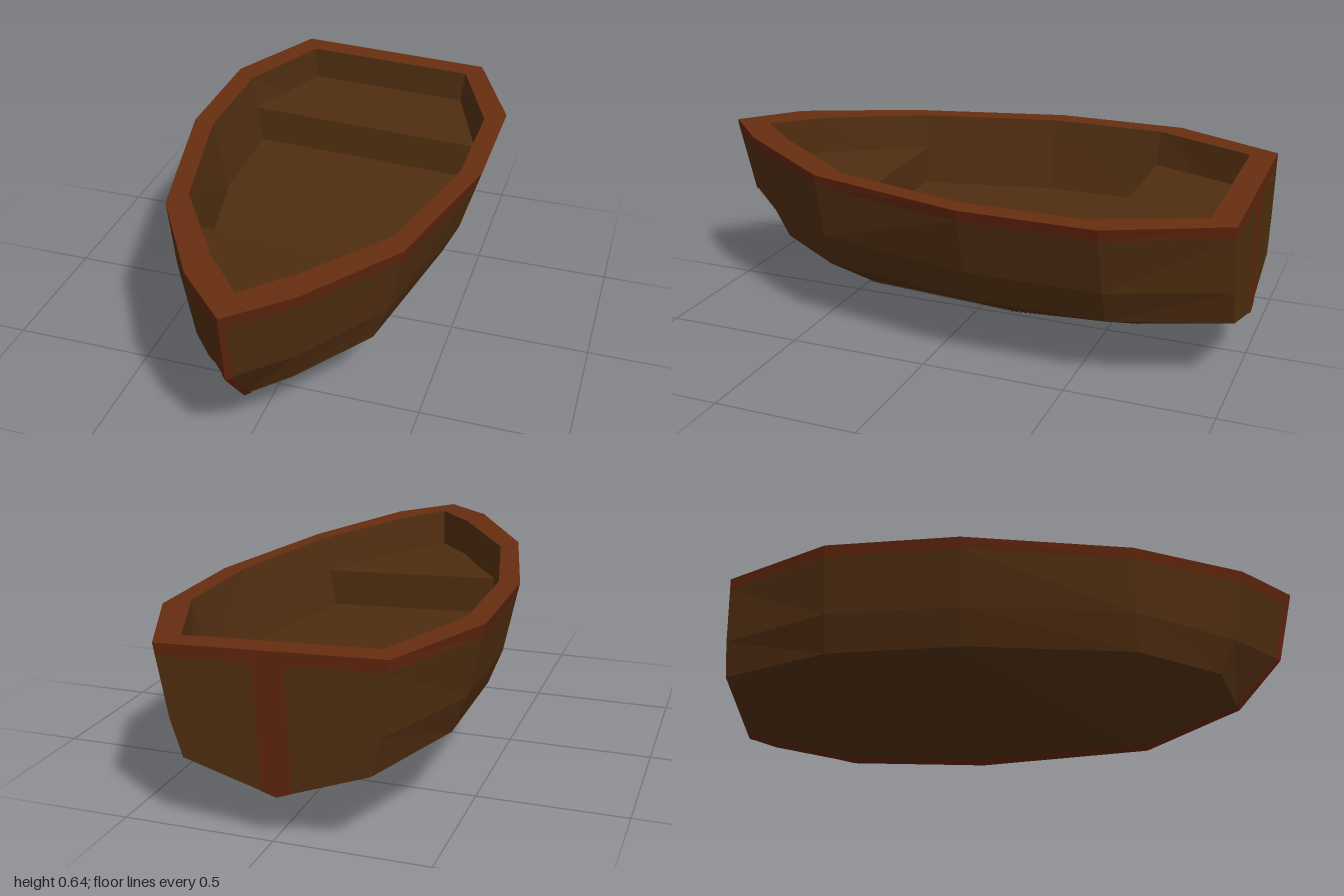
import * as THREE from 'three';

const mat = (name, color) => {
  const m = new THREE.MeshStandardMaterial({ color, flatShading: true });
  m.name = name;
  return m;
};
const V = (x, y, z) => new THREE.Vector3(x, y, z);
const row = (pts) => pts.map((p) => V(...p));
const mix = (A, B, t) => A.map((p, i) => p.clone().lerp(B[i], t));
// Centreline points level with a row
const spine = (A) => A.map((p) => V(0, p.y, p.z));

// Quad strip between two rows of points
const loft = (A, B) => A.slice(1).map((p, i) => [A[i], p, B[i + 1], B[i]]);

// Flat-shaded mesh from quads, mirrored to the other side
function panel(name, material, quads) {
  const out = [];
  const tri = (a, b, c) => {
    const area = b.clone().sub(a).cross(c.clone().sub(a)).length();
    if (area < 1e-7) return;
    for (const p of [a, b, c]) out.push(p.x, p.y, p.z);
    for (const p of [a, c, b]) out.push(-p.x, p.y, p.z);
  };
  for (const [a, b, c, d] of quads) {
    tri(a, b, c);
    tri(a, c, d);
  }
  const g = new THREE.BufferGeometry();
  g.setAttribute('position', new THREE.Float32BufferAttribute(out, 3));
  g.computeVertexNormals();
  const mesh = new THREE.Mesh(g, material);
  mesh.name = name;
  return mesh;
}

export function createModel() {
  const wood = mat('brown planks', 0x4f2d10);
  const rimWood = mat('red brown rim', 0x662d10);
  const trimWood = mat('dark red trim', 0x5e240d);

  // Half rows of the hull: stern centre, stern corner, then forward to the bow
  const rim = row([[0, 0.602, -1], [0.37, 0.602, -1], [0.545, 0.603, -0.61],
    [0.545, 0.605, -0.14], [0.41, 0.607, 0.44], [0.18, 0.63, 0.82], [0, 0.63, 1]]);
  const mid = row([[0, 0.365, -1], [0.335, 0.365, -1], [0.485, 0.365, -0.61],
    [0.485, 0.365, -0.14], [0.375, 0.368, 0.44], [0.165, 0.365, 0.77], [0, 0.36, 0.94]]);
  const chine = row([[0, 0.243, -1], [0.3, 0.243, -1], [0.432, 0.243, -0.61],
    [0.432, 0.243, -0.14], [0.33, 0.243, 0.44], [0.145, 0.24, 0.72], [0, 0.17, 0.78]]);
  const keel = row([[0, 0.145, -1], [0, 0.145, -1], [0, 0.03, -0.6],
    [0, 0, -0.13], [0, 0.03, 0.45], [0, 0.145, 0.72], [0, 0.17, 0.78]]);
  const band = mix(rim, mid, 0.17);

  // Inner lip and the foot of the inner walls
  const lip = row([[0, 0.602, -0.91], [0.32, 0.602, -0.91], [0.47, 0.603, -0.55],
    [0.47, 0.605, -0.13], [0.36, 0.607, 0.36], [0.14, 0.625, 0.7], [0, 0.628, 0.86]]);
  const foot = row([[0, 0.345, -0.91], [0.3, 0.345, -0.91], [0.42, 0.345, -0.535],
    [0.41, 0.345, -0.13], [0.31, 0.345, 0.355], [0.12, 0.345, 0.68], [0, 0.345, 0.84]]);
  const seat = mix(foot, lip, 0.52);

  const boat = new THREE.Group();
  boat.name = 'boat';
  boat.add(
    panel('hull', wood, [...loft(band, mid), ...loft(mid, chine), ...loft(chine, keel)]),
    panel('rimTop', rimWood, loft(lip, rim)),
    panel('rimBand', trimWood, loft(rim, band)),
    panel('innerWalls', wood, loft(foot, lip)),
    panel('floor', wood, loft(spine(foot), foot)),
  );

  // Raised benches at stern and bow, each with an upright face
  const bench = (name, from, to, edge, facesBow) => {
    const top = seat.slice(from, to);
    const low = [V(0, foot[edge].y, foot[edge].z), foot[edge]];
    const high = [V(0, seat[edge].y, seat[edge].z), seat[edge]];
    boat.add(panel(name, wood, [...loft(spine(top), top),
      ...(facesBow ? loft(low, high) : loft(high, low))]));
  };
  bench('sternBench', 1, 3, 2, true);
  bench('bowBench', 4, 7, 4, false);

  // Thin strip down the stem and along the keel
  const shift = V(0, -0.003, 0.003);
  const centre = [...keel.slice(1), mid[6], rim[6]];
  const partner = [...chine.slice(1, 6), chine[5], mid[5], rim[5]];
  const edge = centre.map((p, i) => {
    const d = partner[i].clone().sub(p).normalize();
    return p.clone().addScaledVector(d, 0.026).add(shift);
  });
  boat.add(panel('keelStrip', trimWood, loft(edge, centre.map((p) => p.clone().add(shift)))));

  // Upright strip on the transom
  const w = 0.05;
  const z = -1.003;
  boat.add(panel('sternStrip', trimWood, [
    [V(0, 0.565, z), V(w, 0.565, z), V(w, 0.162, z), V(0, 0.145, z)],
  ]));

  // Slight roll to one side
  boat.rotation.z = -0.037;
  boat.position.x = -0.022;

  const model = new THREE.Group();
  model.name = 'rowingBoat';
  model.add(boat);
  return model;
}
